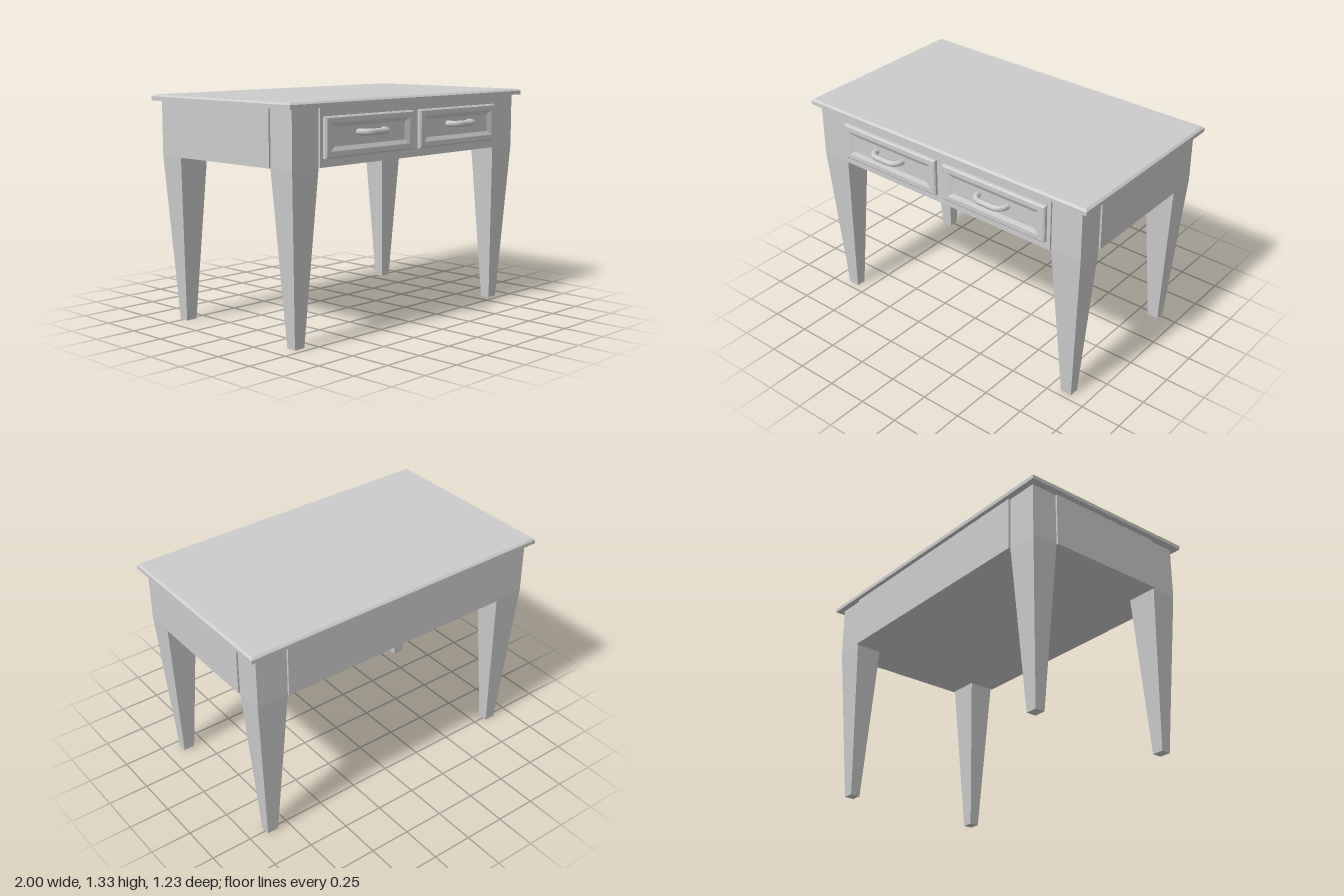
import * as THREE from 'three';

const material = new THREE.MeshStandardMaterial({ color: 0xcccccc });

function addMesh(parent, name, geometry, mat = material) {
  const mesh = new THREE.Mesh(geometry, mat);
  mesh.name = name;
  parent.add(mesh);
  return mesh;
}

// Faceted solid through stacked rectangles [x0, x1, z0, z1, y], capped at both ends
function rectLoft(rings) {
  const points = [], index = [];
  for (const [x0, x1, z0, z1, y] of rings) {
    points.push(x0, y, z1, x1, y, z1, x1, y, z0, x0, y, z0);
  }
  for (let r = 0; r < rings.length - 1; r++) {
    for (let i = 0; i < 4; i++) {
      const a = r * 4 + i, b = r * 4 + (i + 1) % 4;
      index.push(a, b, b + 4, a, b + 4, a + 4);
    }
  }
  const t = (rings.length - 1) * 4;
  index.push(0, 2, 1, 0, 3, 2, t, t + 1, t + 2, t, t + 2, t + 3);
  const indexed = new THREE.BufferGeometry();
  indexed.setAttribute('position', new THREE.Float32BufferAttribute(points, 3));
  indexed.setIndex(index);
  const geometry = indexed.toNonIndexed();
  geometry.computeVertexNormals();
  return geometry;
}

const centredRing = (hw, hd, y) => [-hw, hw, -hd, hd, y];

// Leg: straight block beside the apron, tapering to a small foot
function makeLegGeometry() {
  return rectLoft([
    centredRing(0.035, 0.03, 0),
    centredRing(0.096, 0.083, 0.98),
    centredRing(0.096, 0.083, 1.3),
  ]);
}

// Drawer front: chamfered slab with a sloping recessed panel
function makeDrawerFrontGeometry() {
  return rectLoft([
    centredRing(0.355, 0.112, 0),
    centredRing(0.355, 0.112, 0.016),
    centredRing(0.346, 0.103, 0.024),
    centredRing(0.319, 0.076, 0.024),
    centredRing(0.285, 0.052, 0.012),
  ]).rotateX(Math.PI / 2);
}

// Bowed pull handle
function makeHandleGeometry() {
  const path = new THREE.CatmullRomCurve3([
    [-0.1, 0], [-0.098, 0.025], [-0.07, 0.057], [0, 0.062],
    [0.07, 0.057], [0.098, 0.025], [0.1, 0],
  ].map(([x, z]) => new THREE.Vector3(x, 0, z)));
  return new THREE.TubeGeometry(path, 20, 0.018, 8);
}

export function createModel() {
  const table = new THREE.Group();
  table.name = 'table';

  // Top with chamfered upper edge
  addMesh(table, 'tableTop', rectLoft([
    [-1, 1, -0.615, 0.55, 1.3],
    [-1, 1, -0.615, 0.55, 1.323],
    [-0.988, 0.988, -0.603, 0.538, 1.334],
  ]));

  // Apron body, standing slightly proud of the legs
  addMesh(table, 'frontBackApron', rectLoft([
    [-0.762, 0.762, -0.59, 0.525, 0.98],
    [-0.762, 0.762, -0.59, 0.525, 1.3],
  ]));
  for (const side of [-1, 1]) {
    const inner = 0.762 * side, outer = 0.965 * side;
    const x0 = Math.min(inner, outer), x1 = Math.max(inner, outer);
    addMesh(table, side > 0 ? 'leftApron' : 'rightApron', rectLoft([
      [x0, x1, -0.412, 0.349, 0.98],
      [x0, x1, -0.412, 0.349, 1.3],
    ]));
  }

  // Legs
  const legGeometry = makeLegGeometry();
  for (const side of [-1, 1]) {
    for (const [label, z] of [['front', 0.431], ['back', -0.495]]) {
      const name = label + (side > 0 ? 'Left' : 'Right') + 'Leg';
      addMesh(table, name, legGeometry).position.set(side * 0.858, 0, z);
    }
  }

  // Drawers with handles
  const drawerGeometry = makeDrawerFrontGeometry();
  const handleGeometry = makeHandleGeometry();
  for (const side of [-1, 1]) {
    const drawer = new THREE.Group();
    drawer.name = side > 0 ? 'leftDrawer' : 'rightDrawer';
    drawer.position.set(side * 0.383, 1.139, 0.525);
    addMesh(drawer, 'drawerFront', drawerGeometry);
    addMesh(drawer, 'handle', handleGeometry).position.set(0, 0.016, 0.01);
    table.add(drawer);
  }

  return table;
}
